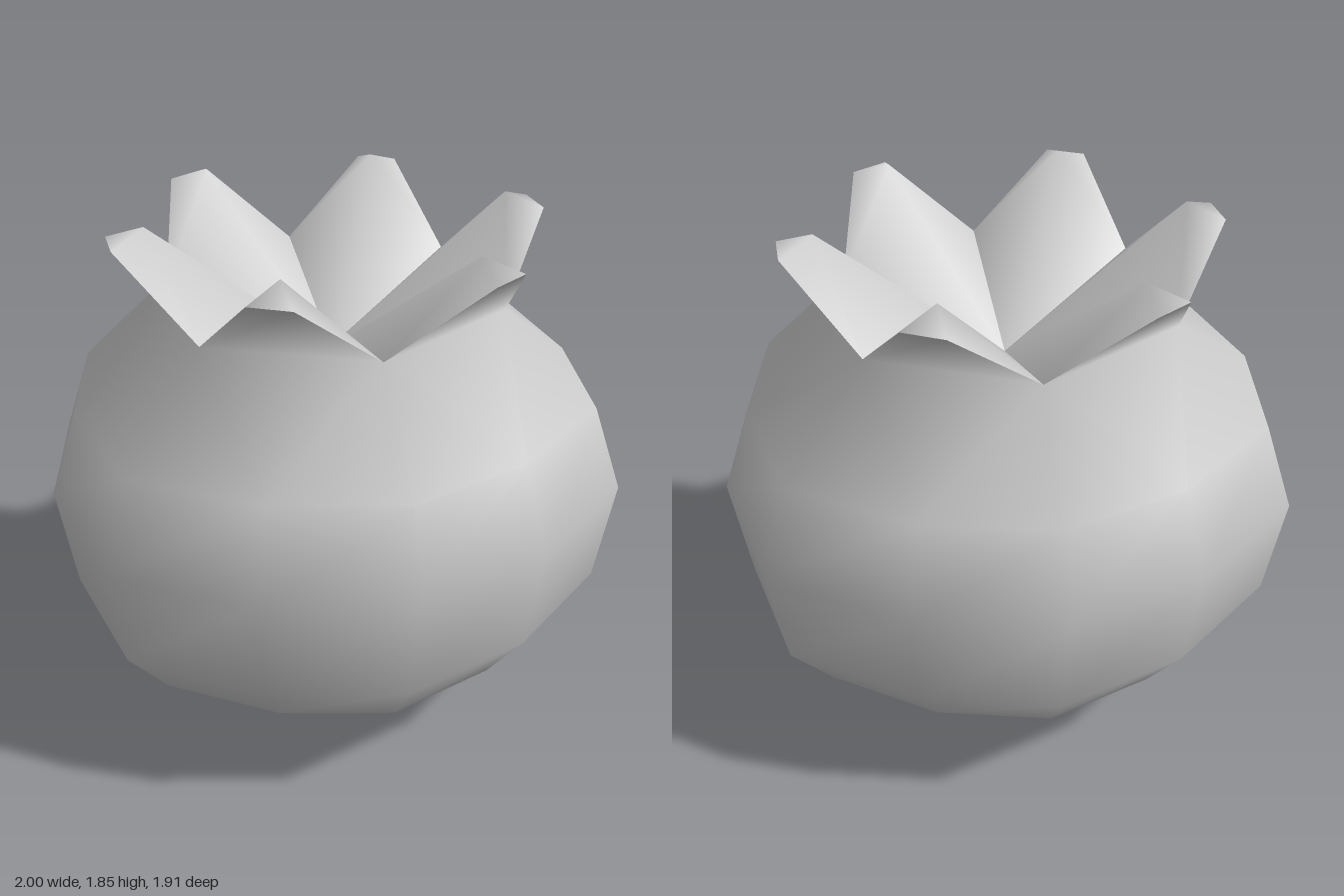
import * as THREE from 'three';

const material = new THREE.MeshStandardMaterial({ color: 0xcccccc, side: THREE.DoubleSide });

// Point at a compass angle (degrees), radius and height
function polar(deg, r, y) {
  const a = THREE.MathUtils.degToRad(deg);
  return [r * Math.cos(a), y, r * Math.sin(a)];
}

// Smooth-shaded mesh from points and triangles
function build(name, points, triangles) {
  const geometry = new THREE.BufferGeometry();
  geometry.setAttribute('position', new THREE.Float32BufferAttribute(points.flat(), 3));
  geometry.setIndex(triangles.flat());
  geometry.computeVertexNormals();
  const mesh = new THREE.Mesh(geometry, material);
  mesh.name = name;
  return mesh;
}

const SIDES = 12, PETALS = 6;
const outline = [1, 1.03, 0.945, 0.955, 0.945, 1.03]; // radii every 30 degrees, half a turn
const rings = [[0.33, 0.07], [0.63, 0.18], [0.8, 0.33], [0.95, 0.54], [1, 0.92], [0.895, 1.22]];

// Corners of one crown petal
const neck = (k) => polar(60 * k + 30, (k + 3) % 3 === 1 ? 0.557 : 0.59, 1.55);
const outerTip = (k, side) => polar(60 * k + side * 5.5, 0.733, 1.8);
const innerTip = (k) => polar(60 * k, 0.615, 1.845);

// Fruit body together with the outer faces of the petals
function createBody() {
  const points = [[0, 0, 0]];
  const triangles = [];
  const at = (ring, i) => 1 + ring * SIDES + ((i + SIDES) % SIDES);
  for (const [scale, y] of rings) {
    for (let i = 0; i < SIDES; i++) points.push(polar(30 * i, scale * outline[i % 6], y));
  }
  // rounded underside and side bands
  for (let i = 0; i < SIDES; i++) {
    triangles.push([0, at(0, i), at(0, i + 1)]);
    for (let r = 0; r < rings.length - 1; r++) {
      triangles.push([at(r, i), at(r + 1, i), at(r, i + 1)]);
      triangles.push([at(r, i + 1), at(r + 1, i), at(r + 1, i + 1)]);
    }
  }
  // shoulder narrowing to a six-cornered neck, then petals flaring out of it
  const top = rings.length - 1;
  const neckStart = points.length;
  for (let k = 0; k < PETALS; k++) points.push(neck(k));
  for (let k = 0; k < PETALS; k++) {
    const a = neckStart + ((k + PETALS - 1) % PETALS);
    const b = neckStart + k;
    const mid = at(top, 2 * k);
    triangles.push([at(top, 2 * k - 1), a, mid], [mid, a, b], [mid, b, at(top, 2 * k + 1)]);
    const tip = points.length;
    points.push(outerTip(k, -1), outerTip(k, 1));
    triangles.push([a, tip, b], [b, tip, tip + 1]);
  }
  return build('body', points, triangles);
}

// Inner face of a petal, running from the sunken centre up to its tip
function createPetal(k) {
  const points = [[0, 1.35, 0], neck(k - 1), neck(k), outerTip(k, -1), outerTip(k, 1), innerTip(k)];
  return build('crownPetal', points, [[0, 5, 1], [0, 2, 5], [1, 5, 3], [2, 4, 5], [3, 5, 4]]);
}

export function createModel() {
  const model = new THREE.Group();
  model.name = 'crownedFruit';
  model.add(createBody());
  const crown = new THREE.Group();
  crown.name = 'crown';
  for (let k = 0; k < PETALS; k++) crown.add(createPetal(k));
  model.add(crown);
  return model;
}
